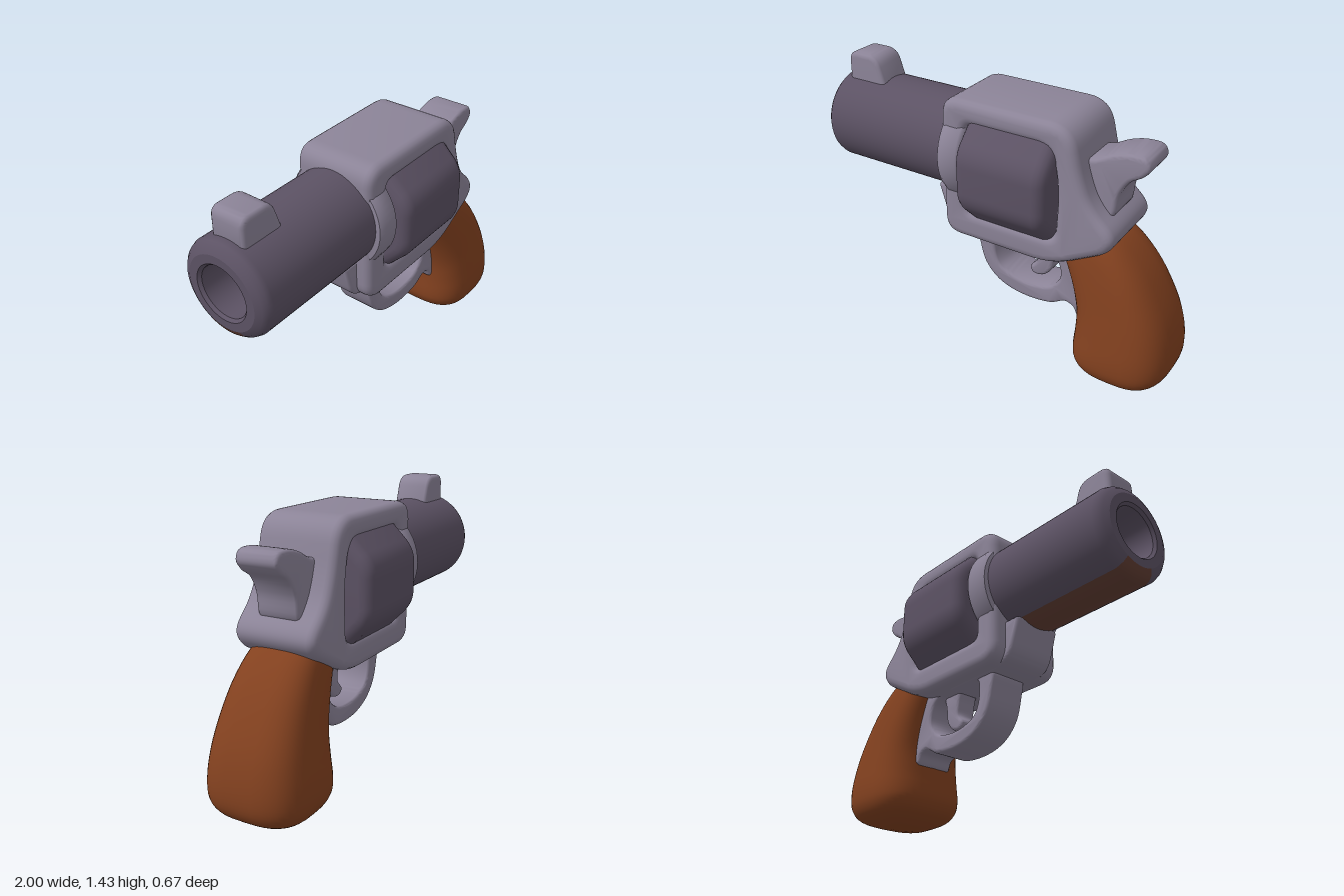
import * as THREE from 'three';
import { toCreasedNormals } from 'three/addons/utils/BufferGeometryUtils.js';

const mat = (name, color) => Object.assign(new THREE.MeshStandardMaterial({ color }), { name });

// Closed outline from [x, y, cornerRadius] points, each corner rounded off
function rounded(pts, Type = THREE.Shape) {
  const path = new Type();
  const n = pts.length;
  pts.forEach(([x, y, r], i) => {
    const toward = ([px, py]) => {
      const len = Math.hypot(px - x, py - y);
      const d = Math.min(r, len * 0.5);
      return [x + ((px - x) * d) / len, y + ((py - y) * d) / len];
    };
    const a = toward(pts[(i + n - 1) % n]);
    const b = toward(pts[(i + 1) % n]);
    if (i === 0) path.moveTo(...a); else path.lineTo(...a);
    path.quadraticCurveTo(x, y, ...b);
  });
  path.closePath();
  return path;
}

// Smooth closed outline through [x, y] points
function smooth(pts) {
  const curve = new THREE.CatmullRomCurve3(pts.map(([x, y]) => new THREE.Vector3(x, y, 0)), true);
  return new THREE.Shape(curve.getPoints(64).slice(0, -1).map((p) => new THREE.Vector2(p.x, p.y)));
}

// Slab of a given half thickness, centred on z = 0, with soft edges inside the outline
function slab(shape, half, bevel) {
  const geo = new THREE.ExtrudeGeometry(shape, {
    depth: 2 * (half - bevel), bevelThickness: bevel, bevelSize: bevel,
    bevelOffset: -bevel, bevelSegments: 4, curveSegments: 8,
  });
  geo.translate(0, 0, bevel - half);
  return toCreasedNormals(geo, 0.75);
}

// Loft of rounded sections; front and back are [x, y] edges, width the half widths
function gripGeometry(front, back, width) {
  const curve = (pts) => new THREE.CatmullRomCurve3(pts);
  const f = curve(front.map(([x, y], i) => new THREE.Vector3(x, y, width[i])));
  const b = curve(back.map(([x, y], i) => new THREE.Vector3(x, y, width[i])));
  const rows = 36, sides = 40, pos = [], index = [];
  const soft = (v) => Math.sign(v) * Math.pow(Math.abs(v), 0.68);
  for (let i = 0; i <= rows; i++) {
    const p = f.getPoint(i / rows), q = b.getPoint(i / rows);
    for (let j = 0; j < sides; j++) {
      const a = (j / sides) * Math.PI * 2;
      const s = 0.5 + 0.5 * soft(Math.cos(a));
      pos.push(p.x + (q.x - p.x) * s, Math.max(0, p.y + (q.y - p.y) * s), p.z * soft(Math.sin(a)));
      if (i < rows) {
        const k = i * sides, m = (j + 1) % sides;
        index.push(k + j, k + m, k + sides + j, k + m, k + sides + m, k + sides + j);
      }
    }
  }
  // bottom cap
  const last = rows * sides, c = pos.length / 3;
  pos.push((f.getPoint(1).x + b.getPoint(1).x) / 2, 0, 0);
  for (let j = 0; j < sides; j++) index.push(last + j, last + ((j + 1) % sides), c);
  const geo = new THREE.BufferGeometry();
  geo.setAttribute('position', new THREE.Float32BufferAttribute(pos, 3));
  geo.setIndex(index);
  geo.computeVertexNormals();
  return geo;
}

// Turned part about the x axis at height y; profile is [radius, -x]
function turned(profile, y, start = 0, sweep = Math.PI * 2) {
  const pts = profile.map(([r, h]) => new THREE.Vector2(r, h));
  const segments = Math.max(8, Math.round((sweep / Math.PI) * 28));
  return new THREE.LatheGeometry(pts, segments, start, sweep).rotateZ(Math.PI / 2).translate(0, y, 0);
}

export function createModel() {
  const group = new THREE.Group();
  const steel = mat('light steel', 0x8c8498);
  const dark = mat('dark steel', 0x5c5264);
  const wood = mat('brown wood', 0x83411f);
  const tint = mat('brown tinted steel', 0x643f34);
  const add = (name, geo, material) => {
    const mesh = new THREE.Mesh(geo, material);
    mesh.name = name;
    group.add(mesh);
    return mesh;
  };

  // Barrel: outer wall split so the underside has its own colour, then the bore
  const wall = [[0.247, 0.2], [0.247, 0.94], [0.238, 0.965], [0.22, 0.985], [0.19, 1]];
  const half = 0.45;
  add('barrel', turned(wall, 1.06, Math.PI * 1.5 + half, Math.PI * 2 - 2 * half), dark);
  add('barrelUnderside', turned(wall, 1.06, Math.PI * 1.5 - half, 2 * half), tint);
  add('muzzleAndBore', toCreasedNormals(
    turned([[0.19, 1], [0.145, 1], [0.132, 0.985], [0.13, 0.55], [0, 0.55]], 1.06), 0.7), dark);

  // Front sight
  add('frontSight', slab(rounded([
    [-0.935, 1.22, 0.01], [-0.675, 1.22, 0.01], [-0.745, 1.432, 0.06], [-0.93, 1.432, 0.05],
  ]), 0.095, 0.025), steel);

  // Frame with the window around the drum
  const frame = rounded([
    [-0.255, 0.615, 0.1], [0.38, 0.615, 0.12], [0.68, 0.78, 0.07], [0.705, 0.87, 0.07],
    [0.575, 0.99, 0.08], [0.52, 1.12, 0.08], [0.46, 1.37, 0.12], [-0.255, 1.37, 0.1],
  ]);
  frame.holes.push(rounded([
    [-0.112, 0.77, 0.04], [-0.112, 1.25, 0.04], [0.36, 1.25, 0.08],
    [0.4, 1.05, 0.1], [0.39, 0.77, 0.06],
  ], THREE.Path));
  add('frame', slab(frame, 0.222, 0.045), steel);

  // Swollen collar where the barrel meets the frame
  add('barrelCollar', toCreasedNormals(turned([
    [0.2, 0.113], [0.265, 0.113], [0.283, 0.13], [0.284, 0.215], [0.27, 0.242], [0.2, 0.252],
  ], 1.05), 0.9), steel);

  // Lower lip under the barrel
  add('lowerLip', slab(rounded([
    [-0.2, 0.612, 0.1], [0.2, 0.612, 0.02], [0.2, 0.84, 0.02], [-0.345, 0.84, 0.02], [-0.285, 0.65, 0.06],
  ]), 0.14, 0.02), steel);

  // Eight-sided drum, soft at the corners and ends
  const octagon = [];
  for (let i = 0; i < 8; i++) {
    const a = ((i + 0.5) / 8) * Math.PI * 2, r = 0.335 / Math.cos(Math.PI / 8);
    octagon.push([Math.cos(a) * r, Math.sin(a) * r, 0.07]);
  }
  add('drum', slab(rounded(octagon), 0.25, 0.06).rotateY(Math.PI / 2).translate(0.14, 1.015, 0), dark);

  // Hammer
  add('hammer', slab(smooth([
    [0.46, 1.17], [0.54, 1.2], [0.62, 1.24], [0.71, 1.262], [0.785, 1.255], [0.805, 1.21],
    [0.775, 1.165], [0.71, 1.12], [0.665, 1.04], [0.64, 0.92], [0.54, 0.88], [0.47, 1.0],
  ]), 0.112, 0.022), steel);

  // Trigger guard
  const guard = smooth([
    [-0.12, 0.64], [-0.11, 0.53], [-0.075, 0.42], [0.0, 0.34], [0.1, 0.3], [0.22, 0.29], [0.33, 0.305],
    [0.41, 0.345], [0.455, 0.33], [0.485, 0.28], [0.53, 0.34], [0.5, 0.5], [0.43, 0.64], [0.15, 0.67],
  ]);
  guard.holes.push(new THREE.Path(smooth([
    [0.0, 0.61], [-0.012, 0.52], [0.02, 0.435], [0.1, 0.395], [0.22, 0.385], [0.32, 0.41],
    [0.375, 0.48], [0.36, 0.57], [0.3, 0.615], [0.15, 0.62],
  ]).getPoints()));
  add('triggerGuard', slab(guard, 0.11, 0.02), steel);

  // Trigger
  add('trigger', slab(smooth([
    [0.19, 0.66], [0.205, 0.57], [0.21, 0.5], [0.172, 0.45], [0.19, 0.418], [0.245, 0.42],
    [0.295, 0.47], [0.31, 0.56], [0.325, 0.66],
  ]), 0.06, 0.018), steel);

  // Wooden grip
  add('grip', gripGeometry(
    [[0.36, 0.7], [0.4, 0.62], [0.455, 0.48], [0.482, 0.36], [0.482, 0.25], [0.475, 0.15],
      [0.48, 0.1], [0.51, 0.05], [0.58, 0.014], [0.67, 0]],
    [[0.6, 0.82], [0.69, 0.775], [0.805, 0.66], [0.9, 0.51], [0.965, 0.36], [0.995, 0.21],
      [0.99, 0.11], [0.955, 0.05], [0.88, 0.014], [0.8, 0]],
    [0.17, 0.19, 0.215, 0.235, 0.253, 0.266, 0.262, 0.235, 0.17, 0.09],
  ), wood);

  return group;
}
